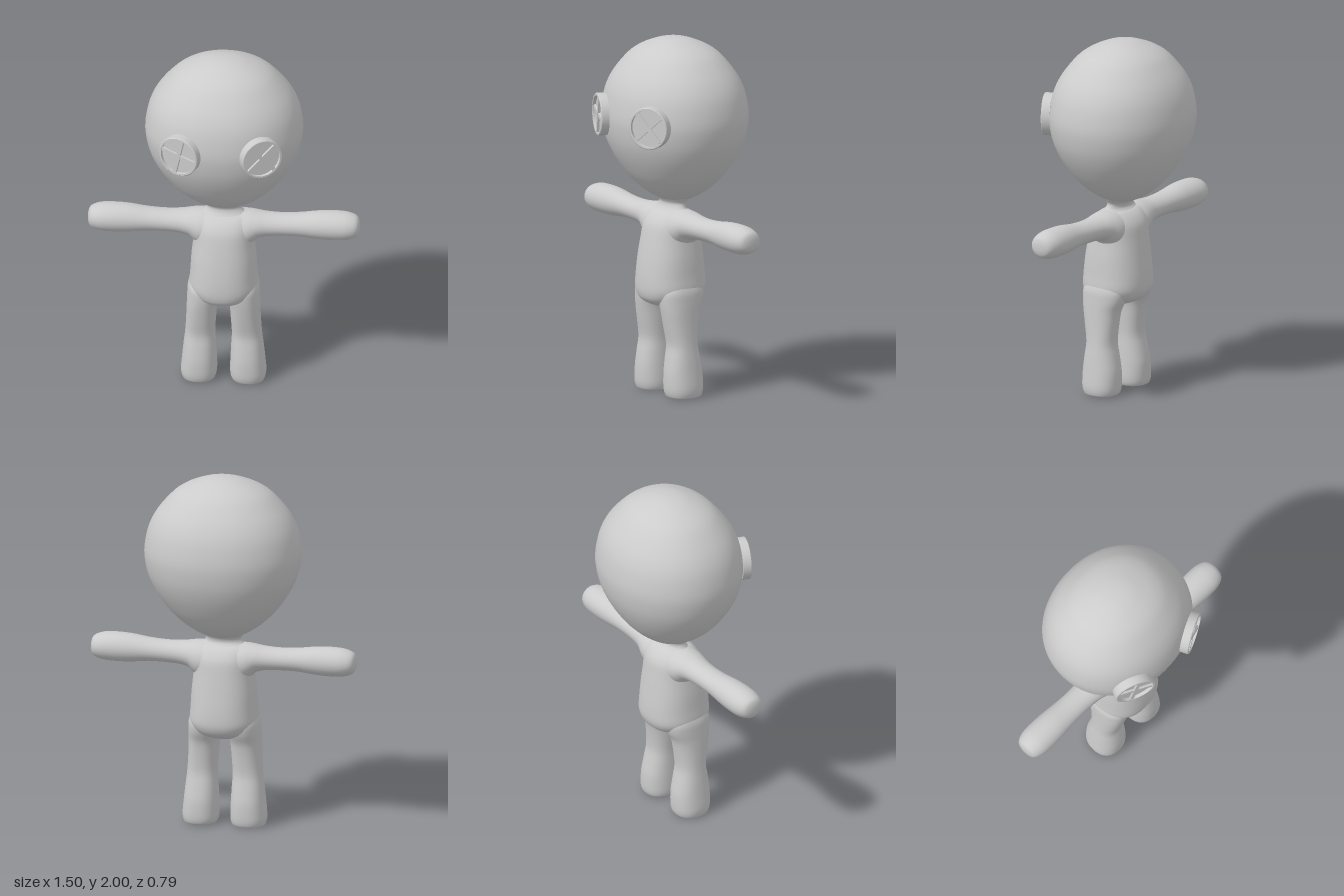
import * as THREE from 'three';

const material = new THREE.MeshStandardMaterial({ color: 0xcccccc, side: THREE.DoubleSide });

// Smooth closed loft along y. Each section: [y, centreX, centreZ, radiusX, radiusZ].
function loft(sections, { power = 2, rows = 48, cols = 48 } = {}) {
  const centres = new THREE.CatmullRomCurve3(sections.map(([y, cx, cz]) => new THREE.Vector3(cx, y, cz)));
  const radii = new THREE.CatmullRomCurve3(sections.map(([, , , rx, rz]) => new THREE.Vector3(rx, rz, 0)));
  centres.curveType = radii.curveType = 'catmullrom';
  centres.tension = radii.tension = 0.45;
  const round = (v) => Math.sign(v) * Math.abs(v) ** (2 / power);
  const positions = [], index = [];
  for (let i = 0; i <= rows; i++) {
    const c = centres.getPoint(i / rows), r = radii.getPoint(i / rows);
    for (let j = 0; j < cols; j++) {
      const a = (j / cols) * Math.PI * 2;
      positions.push(
        c.x + Math.max(r.x, 0.0005) * round(Math.sin(a)),
        c.y,
        c.z + Math.max(r.y, 0.0005) * round(Math.cos(a)));
      if (i === rows) continue;
      const k = (j + 1) % cols, lo = i * cols, hi = lo + cols;
      index.push(lo + j, lo + k, hi + k, lo + j, hi + k, hi + j);
    }
  }
  const geometry = new THREE.BufferGeometry();
  geometry.setAttribute('position', new THREE.Float32BufferAttribute(positions, 3));
  geometry.setIndex(index);
  geometry.computeVertexNormals();
  return geometry;
}

function addMesh(parent, name, geometry) {
  const mesh = new THREE.Mesh(geometry, material);
  mesh.name = name;
  parent.add(mesh);
  return mesh;
}

// Round button with a raised rim, a sunken face and two crossed threads.
function makeButtonEye(name, crossAngle) {
  const eye = new THREE.Group();
  eye.name = name;
  const R = 0.118, inner = 0.104;
  const profile = [[0, -0.05], [R, -0.05], [R, -0.05], [R, -0.004], [R, -0.004], [R - 0.004, 0], [R - 0.004, 0],
    [inner, 0], [inner, 0], [inner, -0.018], [inner, -0.018], [0, -0.018]];
  const disc = new THREE.LatheGeometry(profile.map(([x, y]) => new THREE.Vector2(x, y)), 40);
  addMesh(eye, 'button', disc.rotateX(Math.PI / 2));
  [0, Math.PI / 2].forEach((turn, i) => {
    const thread = addMesh(eye, 'thread', new THREE.BoxGeometry(inner * 1.98, 0.022, 0.014));
    thread.position.z = -0.012 + i * 0.003;
    thread.rotation.z = crossAngle + turn;
  });
  return eye;
}

export function createModel() {
  const model = new THREE.Group();
  model.name = 'doll';

  // Head: egg shape, narrowing to the chin
  const headProfile = [[1.085, 0], [1.09, 0.06], [1.105, 0.11], [1.13, 0.16], [1.18, 0.23], [1.25, 0.3], [1.35, 0.37],
    [1.45, 0.415], [1.57, 0.435], [1.7, 0.414], [1.8, 0.365], [1.9, 0.278], [1.95, 0.203], [1.985, 0.112],
    [1.997, 0.05], [2, 0]];
  addMesh(model, 'head', loft(headProfile.map(([y, r]) => [y, 0, -0.02, r, r * 0.872]),
    { power: 2.1, rows: 60, cols: 64 }));

  // Neck, flaring into head and shoulders
  addMesh(model, 'neck', loft([
    [0.98, 0, 0, 0.17, 0.12], [1.03, 0, 0, 0.135, 0.075], [1.055, 0, 0, 0.108, 0.055],
    [1.08, 0, -0.005, 0.1, 0.055], [1.11, 0, -0.01, 0.12, 0.08], [1.14, 0, -0.015, 0.14, 0.11]]));

  // Torso with a full belly and seat
  addMesh(model, 'torso', loft([
    [0.5, 0, 0.03, 0, 0], [0.503, 0, 0.03, 0.06, 0.07], [0.52, 0, 0.025, 0.115, 0.125],
    [0.55, 0, 0.018, 0.16, 0.165], [0.6, 0, 0.013, 0.188, 0.182], [0.68, 0, 0.012, 0.184, 0.181],
    [0.78, 0, 0.011, 0.178, 0.17], [0.88, 0, 0.008, 0.167, 0.155], [0.96, 0, 0.004, 0.165, 0.139],
    [1.01, 0, 0.002, 0.155, 0.108], [1.04, 0, 0, 0.13, 0.065], [1.05, 0, 0, 0, 0]], { power: 2.3 }));

  // Arm sections: [distance from centre, bottom, top, half depth]
  const arm = [[0.06, 0.83, 1.05, 0.115], [0.13, 0.845, 1.05, 0.11], [0.165, 0.87, 1.047, 0.1], [0.19, 0.893, 1.043, 0.092],
    [0.24, 0.905, 1.037, 0.08], [0.32, 0.91, 1.034, 0.074], [0.42, 0.91, 1.04, 0.076], [0.52, 0.899, 1.054, 0.084],
    [0.6, 0.896, 1.058, 0.088], [0.67, 0.899, 1.055, 0.086], [0.715, 0.91, 1.043, 0.074], [0.738, 0.925, 1.028, 0.056],
    [0.748, 0.95, 1.003, 0.028], [0.75, 0.976, 0.976, 0]];
  // Leg sections: [height, inner, outer, back, front]
  const leg = [[0.005, 0.135, 0.135, 0.02, 0.02], [0.006, 0.06, 0.215, -0.06, 0.105], [0.02, 0.042, 0.23, -0.078, 0.122],
    [0.06, 0.036, 0.235, -0.085, 0.13], [0.14, 0.038, 0.228, -0.084, 0.13], [0.22, 0.042, 0.22, -0.07, 0.121],
    [0.3, 0.046, 0.211, -0.056, 0.111], [0.4, 0.04, 0.205, -0.064, 0.128], [0.48, 0.034, 0.202, -0.078, 0.142],
    [0.54, 0.022, 0.2, -0.105, 0.15], [0.59, 0.02, 0.197, -0.115, 0.15], [0.63, 0.03, 0.185, -0.1, 0.13],
    [0.67, 0.05, 0.165, -0.06, 0.09]];

  for (const [side, s] of [['left', 1], ['right', -1]]) {
    const armGeometry = loft(arm.map(([x, lo, hi, d]) => [x, -s * (lo + hi) / 2, 0, (hi - lo) / 2, d]));
    addMesh(model, side + 'Arm', armGeometry.rotateZ(-s * Math.PI / 2));
    addMesh(model, side + 'Leg', loft(leg.map(([y, a, b, back, front]) =>
      [y, s * (a + b) / 2, (back + front) / 2, (b - a) / 2, (front - back) / 2]), { power: 2.3 }));
  }

  // Button eyes, each turned outward to follow the face
  const leftEye = makeButtonEye('leftEye', 0.73);
  leftEye.position.set(0.24, 1.572, 0.34);
  leftEye.rotation.y = 0.46;
  const rightEye = makeButtonEye('rightEye', -0.22);
  rightEye.position.set(-0.228, 1.57, 0.345);
  rightEye.rotation.y = -0.4;
  model.add(leftEye, rightEye);

  return model;
}
